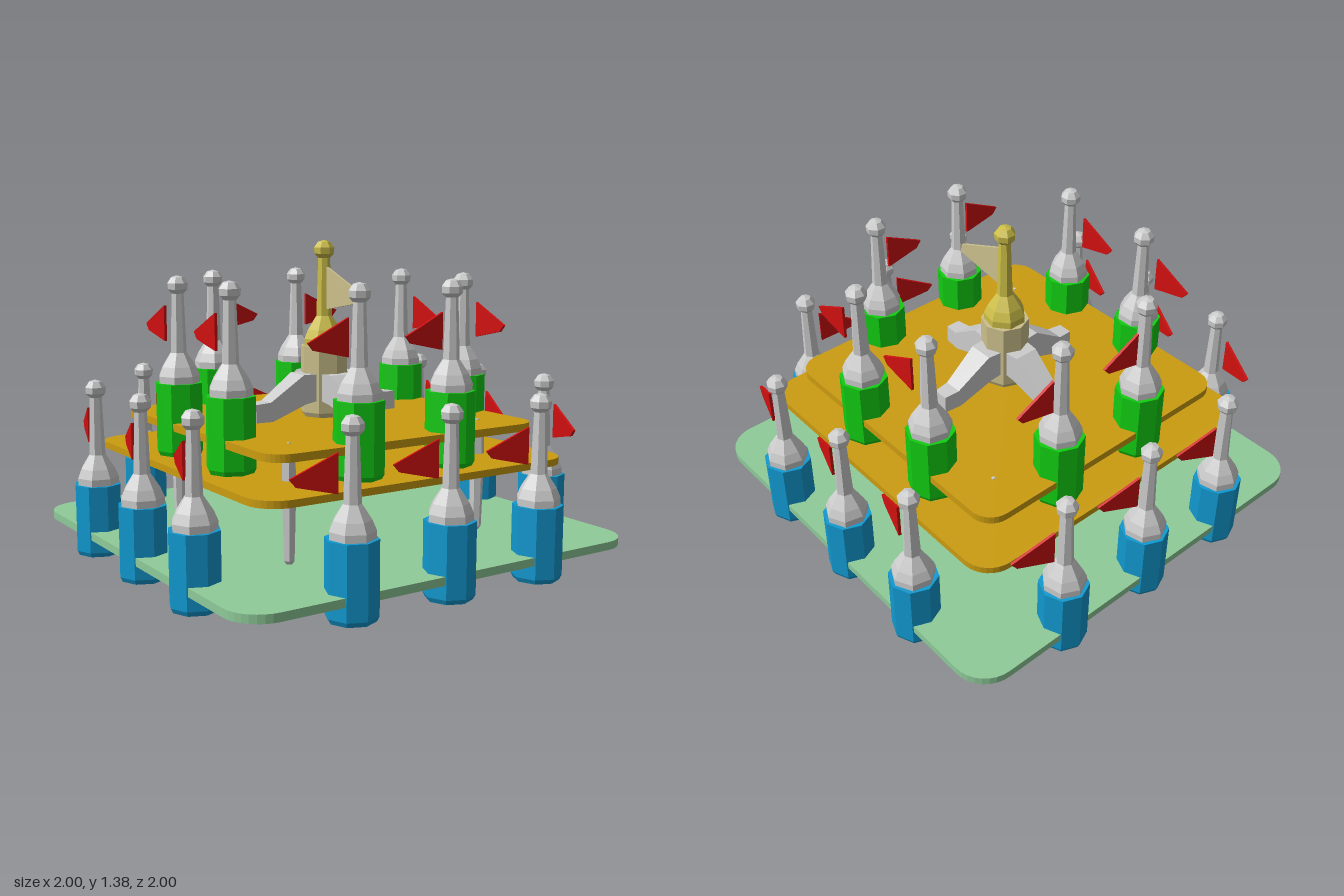
import * as THREE from 'three';

const mat = (name, color, double) => {
  const m = new THREE.MeshStandardMaterial({ color, flatShading: true });
  m.name = name;
  if (double) m.side = THREE.DoubleSide;
  return m;
};

export function createModel() {
  const model = new THREE.Group();
  model.name = 'towerBoard';

  const blue = mat('blue', 0x1199d0);
  const green = mat('green', 0x12cc12);
  const silver = mat('silver', 0xcccccc);
  const red = mat('red', 0xd01010, true);
  const mint = mat('mint', 0x8fcb99);
  const amber = mat('amber', 0xcb9c10);
  const tan = mat('tan', 0xccc08c, true);
  const gold = mat('gold', 0xccbe48);

  const add = (parent, name, geometry, material) => {
    const mesh = new THREE.Mesh(geometry, material);
    mesh.name = name;
    parent.add(mesh);
    return mesh;
  };
  const lathe = (points, sides) =>
    new THREE.LatheGeometry(points.map(([r, y]) => new THREE.Vector2(r, y)), sides);
  const polygon = (points) =>
    new THREE.Shape(points.map(([x, y]) => new THREE.Vector2(x, y)));

  // Rounded square plates, lying flat
  const plate = (name, h, r, y0, y1, material) => {
    const s = new THREE.Shape();
    s.moveTo(h, -h + r);
    s.lineTo(h, h - r);
    s.absarc(h - r, h - r, r, 0, Math.PI / 2);
    s.absarc(-h + r, h - r, r, Math.PI / 2, Math.PI);
    s.absarc(-h + r, -h + r, r, Math.PI, Math.PI * 1.5);
    s.absarc(h - r, -h + r, r, Math.PI * 1.5, Math.PI * 2);
    const g = new THREE.ExtrudeGeometry(s, { depth: y1 - y0, bevelEnabled: false, curveSegments: 4 });
    g.rotateX(-Math.PI / 2);
    add(model, name, g, material).position.y = y0;
  };
  plate('basePlate', 0.965, 0.15, 0.08, 0.115, mint);
  plate('middlePlate', 0.772, 0.13, 0.427, 0.457, amber);
  plate('upperPlate', 0.672, 0.1, 0.572, 0.605, amber);

  // Tower pieces shared by every tower
  const potGeometry = lathe([[0, 0], [0.095, 0], [0.105, 0.02], [0.105, 0.315], [0, 0.315]], 8);
  const spireGeometry = lathe([
    [0.092, 0.313], [0.092, 0.345], [0.075, 0.385], [0.046, 0.43], [0.036, 0.445],
    [0.027, 0.7], [0.044, 0.718], [0.046, 0.745], [0.028, 0.77], [0, 0.778],
  ], 7);
  const pennant = (points) => {
    const g = new THREE.ExtrudeGeometry(polygon(points), { depth: 0.012, bevelEnabled: false });
    return g.translate(0, 0, -0.006);
  };
  const flagGeometry = pennant([[-0.07, 0.49], [-0.07, 0.645], [-0.255, 0.555], [-0.23, 0.525]]);

  const tower = (parent, x, y, z, potMaterial, spireMaterial) => {
    const t = new THREE.Group();
    t.name = 'tower';
    t.position.set(x, y, z);
    add(t, 'pot', potGeometry, potMaterial);
    add(t, 'spire', spireGeometry, spireMaterial);
    parent.add(t);
    return t;
  };
  const flaggedTower = (parent, x, y, z, potMaterial, turn) => {
    const flag = add(tower(parent, x, y, z, potMaterial, silver), 'flag', flagGeometry, red);
    flag.position.z = 0.025;
    flag.rotation.y = turn;
  };

  // Buttress: side profile with its width narrowing outward
  const buttressGeometry = new THREE.ExtrudeGeometry(polygon([
    [0.08, 0.68], [0.13, 0.67], [0.29, 0.605], [0.37, 0.605], [0.37, 0.685], [0.3, 0.69], [0.14, 0.8], [0.08, 0.8],
  ]), { depth: 2, bevelEnabled: false });
  const p = buttressGeometry.attributes.position;
  for (let i = 0; i < p.count; i++) {
    const half = THREE.MathUtils.mapLinear(p.getX(i), 0.08, 0.37, 0.062, 0.034);
    p.setZ(i, (p.getZ(i) - 1) * half);
  }
  buttressGeometry.computeVertexNormals();

  // Pillar with thin pins through the plates
  const pillarGeometry = lathe([
    [0, 0.078], [0.008, 0.078], [0.01, 0.11], [0.024, 0.13], [0.032, 0.4], [0.03, 0.572], [0.01, 0.575], [0.008, 0.609], [0, 0.61],
  ], 6);

  // Four identical sides around the board
  for (let i = 0; i < 4; i++) {
    const side = new THREE.Group();
    side.name = 'side';
    side.rotation.y = i * Math.PI / 2;
    for (const x of [-0.465, 0, 0.465]) flaggedTower(side, x, 0, 0.895, blue, -0.28);
    for (const x of [-0.232, 0.232]) flaggedTower(side, x, 0.457, 0.603, green, 0);
    add(side, 'buttress', buttressGeometry, silver);
    add(side, 'pillar', pillarGeometry, silver).position.set(0.485, 0, 0.485);
    model.add(side);
  }

  // Central tower with its larger flag toward the front
  const centre = tower(model, 0, 0.605, 0, tan, gold);
  centre.name = 'centralTower';
  const bigFlag = add(centre, 'centralFlag',
    pennant([[-0.03, 0.475], [-0.03, 0.66], [-0.28, 0.56], [-0.29, 0.52]]), tan);
  bigFlag.rotation.y = Math.PI / 2;

  return model;
}
